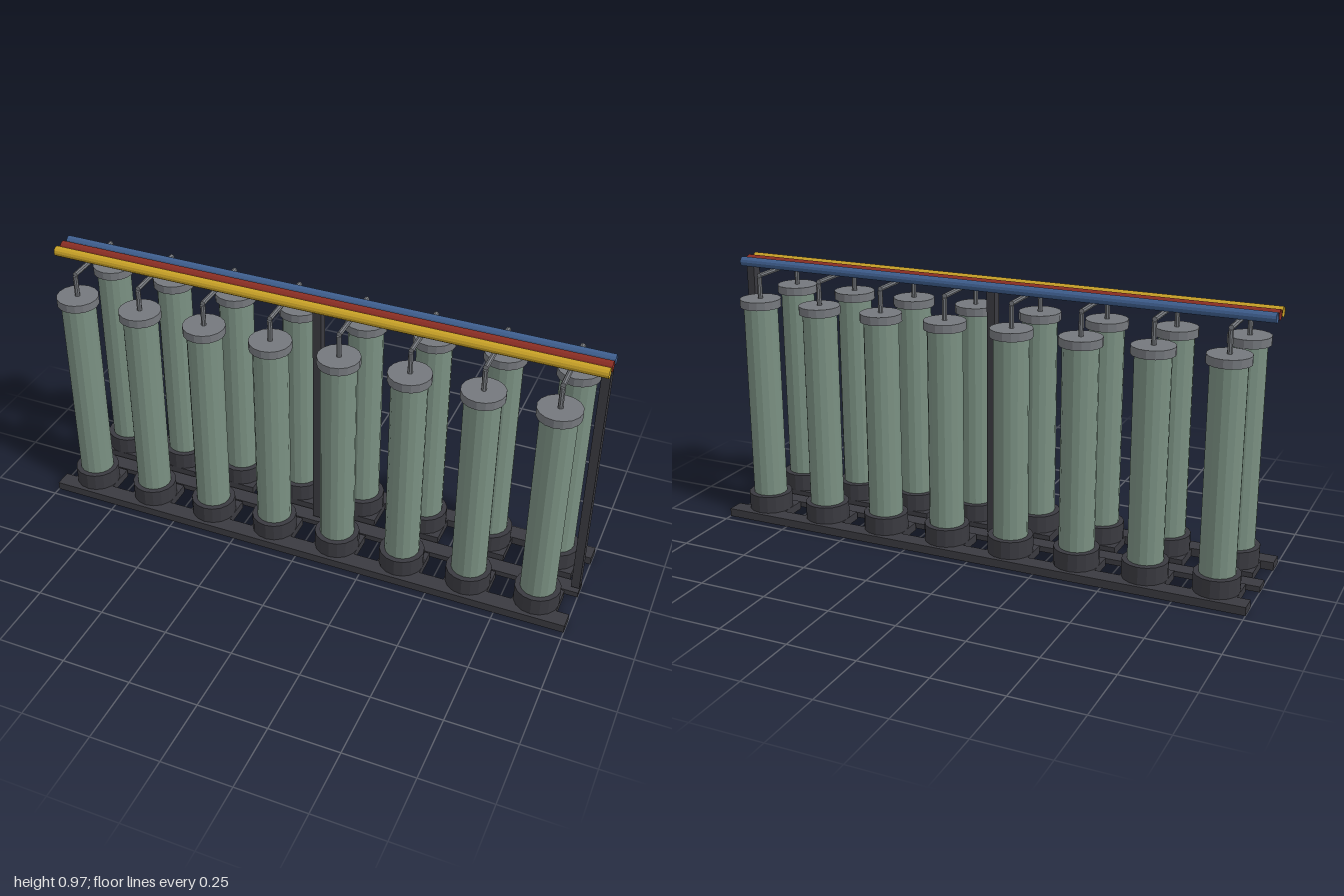
import * as THREE from 'three';

const mat = (name, color, extra = {}) => {
  const m = new THREE.MeshStandardMaterial({ color, flatShading: true, ...extra });
  m.name = name;
  return m;
};

export function createModel() {
  const group = new THREE.Group();
  const steel = mat('darkSteel', 0x3a3a40);
  const green = mat('tankGreen', 0x7a9082);
  const grey = mat('capGrey', 0x75787d);

  const add = (name, geometry, material, x, y, z, parent = group) => {
    const mesh = new THREE.Mesh(geometry, material);
    mesh.name = name;
    mesh.position.set(x, y, z);
    parent.add(mesh);
    return mesh;
  };
  const box = (w, h, d) => new THREE.BoxGeometry(w, h, d);

  // Skid rails and centre strip
  for (const s of [1, -1]) add('outerRail', box(2, 0.03, 0.062), steel, 0, 0.015, s * 0.188);
  add('centreRail', box(2, 0.02, 0.06), steel, 0, 0.01, 0);

  // Posts carrying the header pipes
  for (const x of [0, 0.985]) add('post', box(0.03, 0.9, 0.038), steel, x, 0.482, 0);

  // Shared tank parts
  const pad = box(0.16, 0.03, 0.114);
  const foot = new THREE.CylinderGeometry(0.081, 0.081, 0.064, 16);
  const body = new THREE.CylinderGeometry(0.0625, 0.0625, 0.72, 16);
  const cap = new THREE.CylinderGeometry(0.075, 0.075, 0.03, 16);
  const riser = new THREE.CylinderGeometry(0.009, 0.009, 0.085, 8);
  const link = new THREE.CylinderGeometry(0.009, 0.009, 0.25, 8).rotateX(Math.PI / 2);

  // Two rows of eight tanks, each pair joined by a cross pipe
  for (let i = 0; i < 8; i++) {
    const x = -0.875 + i * 0.25;
    for (const s of [1, -1]) {
      const tank = new THREE.Group();
      tank.name = 'tank';
      tank.position.set(x, 0, s * 0.125);
      group.add(tank);
      add('tankPad', pad, steel, 0, 0.015, s * -0.022, tank);
      add('tankFoot', foot, steel, 0, 0.062, 0, tank);
      add('tankBody', body, green, 0, 0.455, 0, tank);
      add('tankCap', cap, grey, 0, 0.83, 0, tank);
      add('riserPipe', riser, grey, 0, 0.88, 0, tank);
    }
    add('crossPipe', link, grey, x, 0.929, 0);
  }

  // Open-ended header pipes
  const header = new THREE.CylinderGeometry(0.018, 0.018, 2, 12, 1, true).rotateZ(Math.PI / 2);
  const headers = [['yellow', 0xc9a227, 0.041], ['red', 0x8b2e24, -0.001], ['blue', 0x3f5f8f, -0.043]];
  for (const [name, color, z] of headers) {
    add(name + 'HeaderPipe', header, mat(name + 'Paint', color, { side: THREE.DoubleSide }), 0, 0.955, z);
  }
  return group;
}
